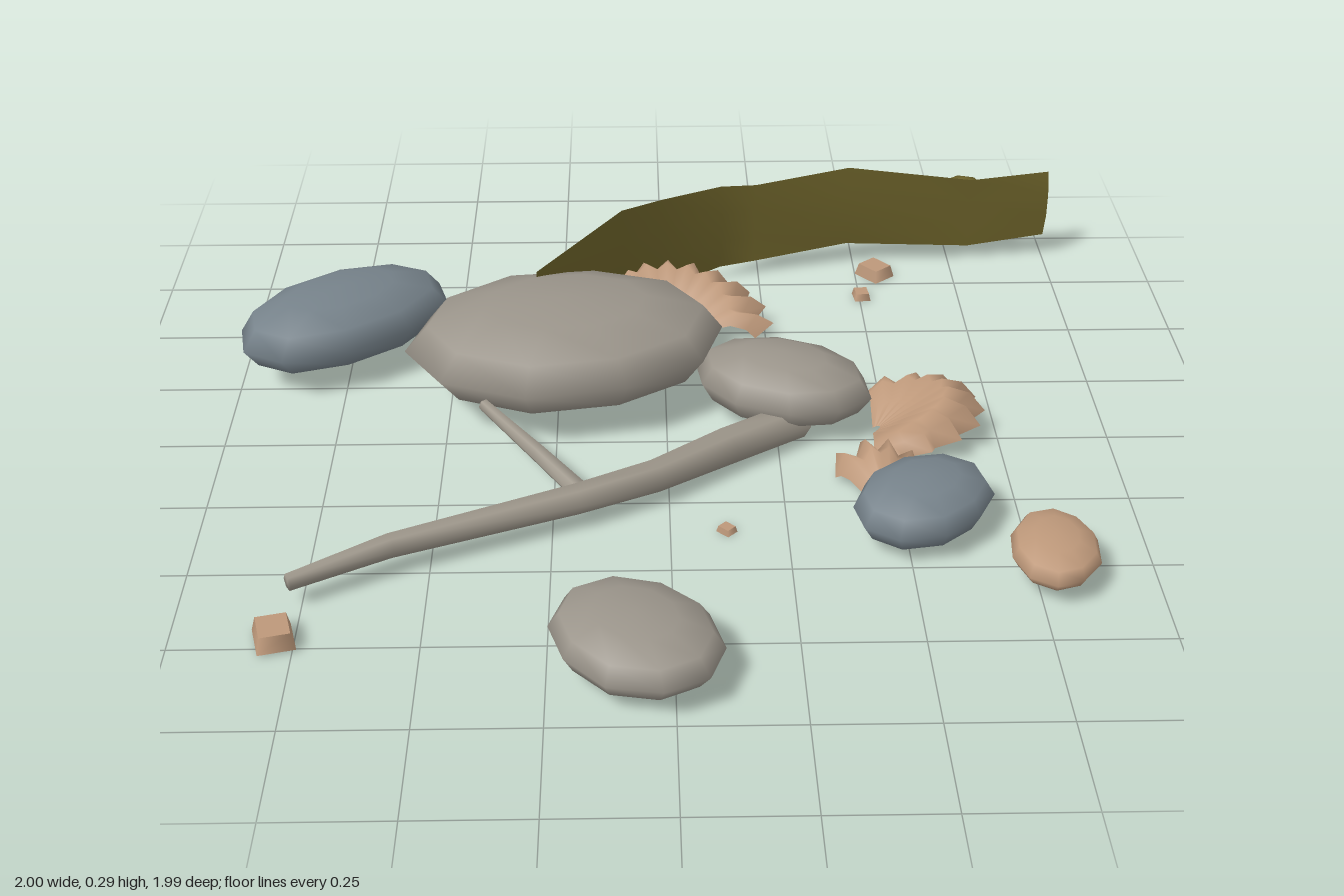
import * as THREE from 'three';

const mat = (name, color, side = THREE.FrontSide) => {
  const m = new THREE.MeshStandardMaterial({ color, side });
  m.name = name;
  return m;
};

// Grid surface from rows of points; closed joins the last column to the first
function loft(rows, closed) {
  const w = rows[0].length, index = [];
  for (let i = 0; i < rows.length - 1; i++)
    for (let j = 0; j < (closed ? w : w - 1); j++) {
      const k = (j + 1) % w, a = i * w + j, b = i * w + k;
      index.push(a, a + w, b, b, a + w, b + w);
    }
  const g = new THREE.BufferGeometry();
  g.setAttribute('position', new THREE.Float32BufferAttribute(rows.flat(2), 3));
  g.setIndex(index);
  g.computeVertexNormals();
  return g;
}

// Coarse rounded pebble with slightly flattened crown
function pebbleGeometry(seed) {
  const g = new THREE.SphereGeometry(1, 10, 6);
  const p = g.attributes.position;
  for (let i = 0; i < p.count; i++) {
    const x = p.getX(i), y = p.getY(i), z = p.getZ(i);
    const k = 1 + 0.04 * Math.sin(3 * x + seed) * Math.cos(2.5 * z + seed * 2);
    p.setXYZ(i, x * k, Math.sign(y) * Math.pow(Math.abs(y), 0.9), z * k);
  }
  return g;
}

// Tapered six-sided branch; each point is [x, y, z, radius]
function branchGeometry(points) {
  const rows = points.map((p, i) => {
    const a = points[Math.max(i - 1, 0)], b = points[Math.min(i + 1, points.length - 1)];
    const dir = new THREE.Vector3(b[0] - a[0], 0, b[2] - a[2]).normalize();
    return Array.from({ length: 6 }, (_, j) => {
      const t = j / 6 * Math.PI * 2, s = Math.cos(t) * p[3];
      return [p[0] - dir.z * s, p[1] + Math.sin(t) * p[3], p[2] + dir.x * s];
    });
  });
  const cap = p => Array.from({ length: 6 }, () => p.slice(0, 3));
  return loft([cap(points[0]), ...rows, cap(points[points.length - 1])], true);
}

// Ribbed shell opening towards +x, arched from hinge to toothed rim
function shellGeometry(ribs, spread, height) {
  const profile = [[0.06, 0.15], [0.35, 0.6], [0.65, 1], [0.85, 0.85], [1, 0.45]];
  const rows = profile.map(([r, h]) => Array.from({ length: ribs * 2 + 1 }, (_, j) => {
    const u = j / (ribs * 2) * 2 - 1, a = u * spread;
    const tooth = j % 2 ? 1 : 1 - 0.17 * r * r;
    const y = height * h * (1 - 0.6 * u * u) + (j % 2 ? 0.012 : -0.008) * r;
    return [Math.cos(a) * r * tooth, Math.max(0, y), Math.sin(a) * r * tooth];
  }));
  return loft(rows, false);
}

export function createModel() {
  const group = new THREE.Group();
  const stone = mat('greyStone', 0x9a948a);
  const slate = mat('blueStone', 0x76828a);
  const wood = mat('driftwood', 0x9f988c, THREE.DoubleSide);
  const tan = mat('tanShell', 0xbd987a, THREE.DoubleSide);
  const olive = mat('oliveWeed', 0x6a6029, THREE.DoubleSide);

  const add = (name, geometry, material, pos = [0, 0, 0], rotY = 0, scale = [1, 1, 1]) => {
    const m = new THREE.Mesh(geometry, material);
    m.name = name;
    m.position.set(...pos);
    m.rotation.y = rotY;
    m.scale.set(...scale);
    group.add(m);
    return m;
  };

  // Pebbles: name, material, centre, turn, half sizes
  [
    ['largeStone', stone, [-0.235, 0.15, -0.215], 0.14, [0.37, 0.113, 0.262]],
    ['middleStone', stone, [0.265, 0.1, -0.1], -0.4, [0.205, 0.08, 0.14]],
    ['frontStone', stone, [-0.075, 0.075, 0.82], -0.75, [0.19, 0.065, 0.155]],
    ['largeBlueStone', slate, [-0.765, 0.115, -0.395], 0.66, [0.28, 0.087, 0.165]],
    ['smallBlueStone', slate, [0.535, 0.072, 0.355], 0.65, [0.17, 0.067, 0.13]],
    ['tanPebble', tan, [0.787, 0.06, 0.52], 1.45, [0.132, 0.042, 0.094]],
  ].forEach(([name, m, pos, turn, size], i) => add(name, pebbleGeometry(i * 1.7), m, pos, turn, size));

  // Driftwood with one side twig
  add('driftwoodBranch', branchGeometry([
    [-0.775, 0.058, 0.605, 0.018], [-0.58, 0.065, 0.49, 0.026], [-0.2, 0.065, 0.325, 0.033],
    [-0.03, 0.06, 0.23, 0.036], [0.13, 0.052, 0.1, 0.042], [0.3, 0.047, -0.02, 0.042],
  ]), wood);
  add('driftwoodTwig', branchGeometry([
    [-0.18, 0.062, 0.31, 0.024], [-0.28, 0.085, 0.18, 0.02], [-0.41, 0.11, 0.01, 0.014],
  ]), wood);

  // Upright weed ribbon: x, z, bottom, top
  const weed = [
    [-0.3, -0.35, 0.04, 0.255], [-0.1, -0.6, 0.035, 0.29], [0.0, -0.68, 0.03, 0.28],
    [0.15, -0.79, 0.035, 0.262], [0.24, -0.812, 0.04, 0.255], [0.48, -0.868, 0.06, 0.275],
    [0.8, -0.888, 0.04, 0.228], [1.0, -0.91, 0.06, 0.24],
  ];
  add('weedRibbon', loft(weed.map(([x, z, lo, hi], i) => [0, 0.33, 0.67, 1].map(t => {
    const belly = (i % 2 ? 0.012 : -0.006) * Math.sin(t * Math.PI);
    return [x + belly * 0.3, lo + (hi - lo) * t, z + belly];
  })), false), olive);
  [[-0.07, 0.15, -0.7], [0.79, 0.17, -0.95]].forEach((p, i) =>
    add('weedFloat' + (i + 1), new THREE.SphereGeometry(1, 6, 4), olive, p, 0.4 - i * 0.7, [0.06, 0.038, 0.046]));

  // Broken fan shells
  add('backShell', shellGeometry(11, 1.6, 0.13), tan, [0.0, 0, -0.47], 1.5, [0.23, 1, 0.27]);
  add('sideShell', shellGeometry(9, 1.6, 0.12), tan, [0.47, 0, -0.03], -0.05, [0.25, 1, 0.18]);
  add('smallShell', shellGeometry(4, 0.6, 0.085), tan, [0.47, 0, 0.33], 1.62, [0.25, 1, 0.2]);

  // Angular shell chips: x, z, size, turn
  [
    [-0.03, -0.83, 0.085, 0.6], [0.55, -0.8, 0.075, 0.7], [0.505, -0.68, 0.045, 0.1],
    [0.12, 0.36, 0.034, 0.8], [-0.79, 0.725, 0.088, 0.25], [-0.105, 0.625, 0.085, -0.5],
    [-0.56, -0.56, 0.05, 0.2],
  ].forEach(([x, z, s, turn], i) => {
    const g = new THREE.CylinderGeometry(0.5, 0.62, 0.4, 4, 1).rotateY(Math.PI / 4);
    add('shellChip' + (i + 1), g.toNonIndexed(), tan, [x, i === 4 ? 0.024 : 0.2 * s + 0.002, z], turn, [s, s, s * 1.15]);
  });

  return group;
}
